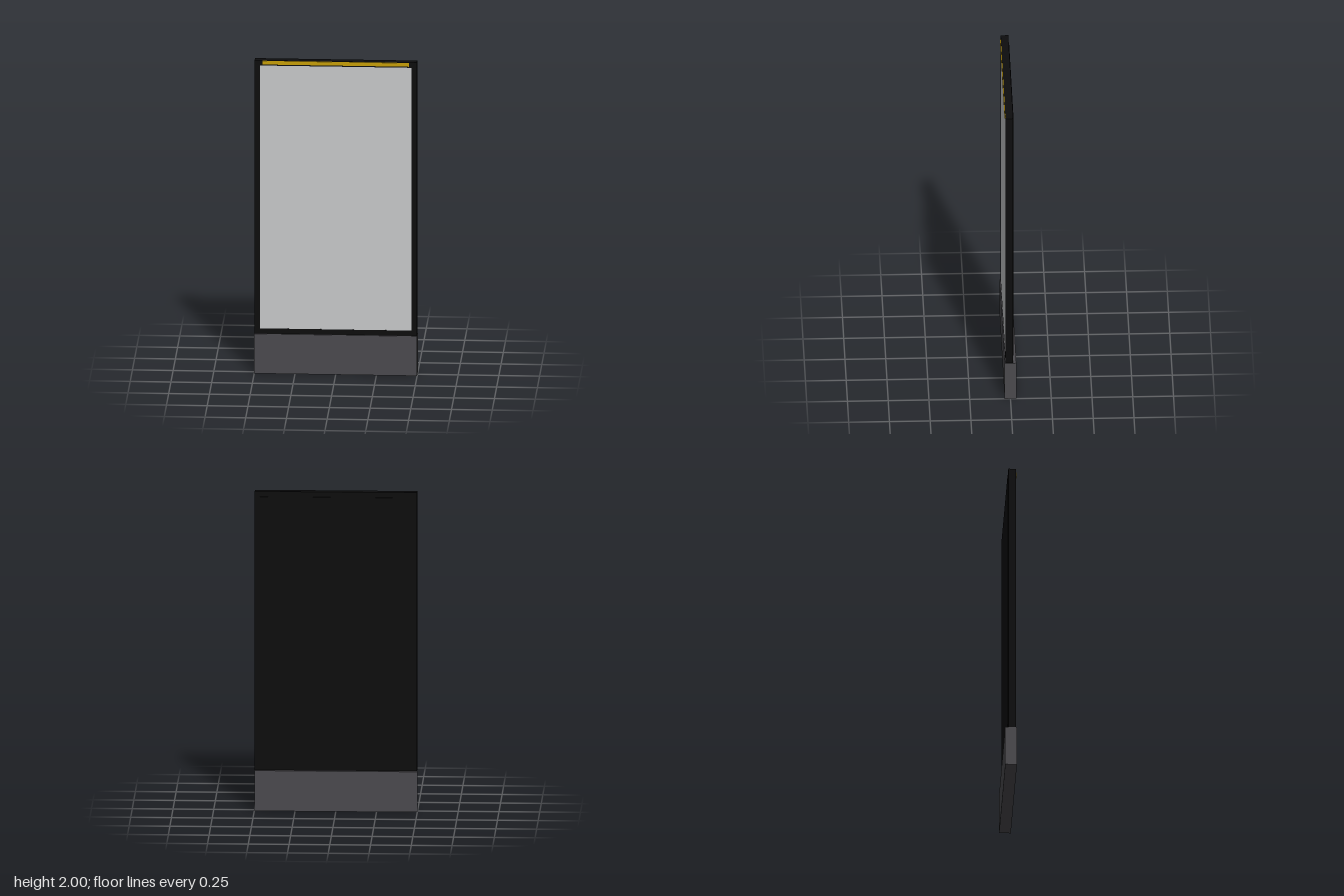
import * as THREE from 'three';

const mat = (name, color) => {
  const m = new THREE.MeshStandardMaterial({ color });
  m.name = name;
  return m;
};

// Box given by its min and max corners
function box(name, material, [x0, y0, z0], [x1, y1, z1]) {
  const mesh = new THREE.Mesh(new THREE.BoxGeometry(x1 - x0, y1 - y0, z1 - z0), material);
  mesh.position.set((x0 + x1) / 2, (y0 + y1) / 2, (z0 + z1) / 2);
  mesh.name = name;
  return mesh;
}

// Corner points of a rectangle centred on x = 0
const rect = (halfWidth, y0, y1) => [
  new THREE.Vector2(-halfWidth, y0), new THREE.Vector2(halfWidth, y0),
  new THREE.Vector2(halfWidth, y1), new THREE.Vector2(-halfWidth, y1),
];

export function createModel() {
  const black = mat('black', 0x0d0d0e);
  const grey = mat('dark grey', 0x4b4a4e);
  const silver = mat('silver', 0xc8c9ca);
  const gold = mat('gold', 0xc89f08);

  const group = new THREE.Group();
  group.name = 'standingPanel';

  // Plinth
  group.add(box('base', grey, [-0.5, 0, -0.036], [0.5, 0.253, 0.036]));

  // Border with an open window
  const outline = new THREE.Shape(rect(0.498, 0.253, 2));
  outline.holes.push(new THREE.Path(rect(0.465, 0.287, 1.967).reverse()));
  const frame = new THREE.Mesh(
    new THREE.ExtrudeGeometry(outline, { depth: 0.047, bevelEnabled: false }), black);
  frame.position.z = -0.017;
  frame.name = 'frame';
  group.add(frame);

  // Back cover, standing slightly proud of the frame
  group.add(box('backCover', black, [-0.465, 0.287, -0.021], [0.465, 1.967, 0.022]));

  // Front panel set into the frame
  group.add(box('frontPanel', silver, [-0.465, 0.287, 0.022], [0.465, 1.967, 0.0295]));

  // Strip along the top edge
  group.add(box('topStrip', gold, [-0.45, 1.975, 0.029], [0.45, 1.998, 0.035]));

  return group;
}
